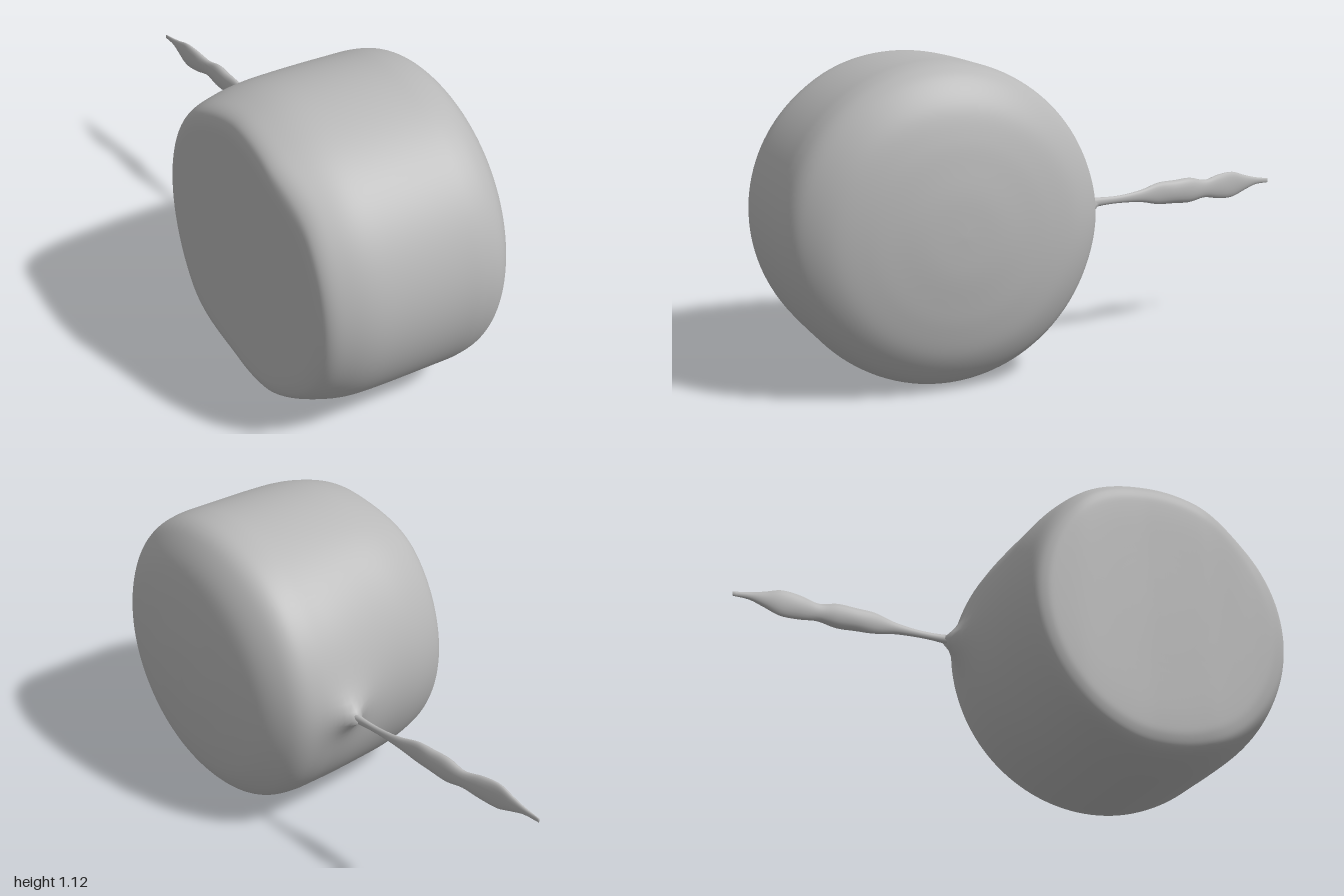
import * as THREE from 'three';
import { mergeVertices } from 'three/addons/utils/BufferGeometryUtils.js';

const AXIS_Y = 0.557, AXIS_Z = 0.435, TAIL_X = 0.1;
const step = THREE.MathUtils.smoothstep;

// Weld seams so that the recomputed normals stay smooth
function smooth(geometry) {
  geometry.deleteAttribute('uv');
  geometry.deleteAttribute('normal');
  const welded = mergeVertices(geometry, 1e-5);
  welded.computeVertexNormals();
  return welded;
}

// Thick drum lying on its side: flat on -x, domed on +x, drawn out towards the tail
function bodyGeometry() {
  const profile = [ // radius, position along x
    [0, -0.4], [0.2, -0.4], [0.4, -0.4], [0.47, -0.394], [0.507, -0.37], [0.532, -0.31],
    [0.551, -0.22], [0.557, -0.1], [0.557, 0.1], [0.555, 0.2], [0.538, 0.27], [0.495, 0.32],
    [0.42, 0.365], [0.32, 0.393], [0.22, 0.409], [0.12, 0.42], [0, 0.424],
  ].map(([r, x]) => new THREE.Vector2(r, x));
  const points = new THREE.SplineCurve(profile).getPoints(96);
  points.forEach((p) => { p.x = Math.max(0, p.x); });
  points[0].x = points[points.length - 1].x = 0;

  const geometry = new THREE.LatheGeometry(points, 128);
  geometry.rotateZ(-Math.PI / 2);
  const pos = geometry.attributes.position;
  for (let i = 0; i < pos.count; i++) {
    let x = pos.getX(i);
    const y = pos.getY(i) + AXIS_Y;
    let z = pos.getZ(i) * 1.013 + AXIS_Z;
    const back = 1 - step(z, -0.1, 0.2);

    // rear wall runs in a little towards the flat side, then peaks at the tail root
    z += 0.022 * back * step(-x, -0.1, 0.2);
    const d = Math.hypot(x - TAIL_X, y - AXIS_Y);
    z -= 0.095 * Math.exp(-d / 0.06) * back;

    // flat side leans outward to the rear in two shallow steps
    const lean = 0.03 * (step(z, 0.6, 0.82) + step(z, 0.1, 0.4) - 1);
    x += lean * step(-x, 0.1, 0.4);
    pos.setXYZ(i, x, y, z);
  }
  return smooth(geometry);
}

// Thin wavy tail lofted from flattened oval sections
function tailGeometry() {
  const sections = [ // z, centre x, half width, centre y, half height
    [-0.17, 0.1, 0.018, 0.558, 0.022], [-0.22, 0.098, 0.011, 0.56, 0.016],
    [-0.3, 0.09, 0.009, 0.56, 0.014], [-0.4, 0.079, 0.012, 0.562, 0.023],
    [-0.48, 0.066, 0.017, 0.563, 0.041], [-0.55, 0.059, 0.022, 0.562, 0.044],
    [-0.62, 0.054, 0.022, 0.562, 0.047], [-0.69, 0.046, 0.016, 0.56, 0.034],
    [-0.76, 0.03, 0.018, 0.56, 0.046], [-0.83, 0.018, 0.015, 0.56, 0.049],
    [-0.89, 0.014, 0.011, 0.562, 0.029], [-0.94, 0.011, 0.007, 0.564, 0.014],
    [-1, 0.005, 0.003, 0.56, 0.008],
  ];
  const column = (k) => new THREE.CatmullRomCurve3(
    sections.map((s) => new THREE.Vector3(s[k], s[k + 1], s[0])));
  const centreX = column(1), centreY = column(3); // (x, half width) and (y, half height)
  const rings = 60, sides = 20;
  const verts = [], index = [];
  const a = new THREE.Vector3(), b = new THREE.Vector3();
  for (let i = 0; i <= rings; i++) {
    centreX.getPoint(i / rings, a);
    centreY.getPoint(i / rings, b);
    for (let j = 0; j < sides; j++) {
      const t = (j / sides) * Math.PI * 2;
      verts.push(a.x + a.y * Math.cos(t), b.x + b.y * Math.sin(t), a.z);
    }
  }
  for (let i = 0; i < rings; i++) {
    for (let j = 0; j < sides; j++) {
      const k = (j + 1) % sides;
      const p = i * sides + j, q = i * sides + k;
      index.push(p, p + sides, q, q, p + sides, q + sides);
    }
  }
  // close the tip
  const tip = verts.length / 3;
  verts.push(0.005, 0.56, -1);
  for (let j = 0; j < sides; j++) {
    index.push(rings * sides + j, tip, rings * sides + (j + 1) % sides);
  }
  const geometry = new THREE.BufferGeometry();
  geometry.setAttribute('position', new THREE.Float32BufferAttribute(verts, 3));
  geometry.setIndex(index);
  geometry.computeVertexNormals();
  return geometry;
}

export function createModel() {
  const grey = new THREE.MeshStandardMaterial({ color: 0xb8b8b8 });
  grey.name = 'plain grey';

  const body = new THREE.Mesh(bodyGeometry(), grey);
  body.name = 'body';
  const tail = new THREE.Mesh(tailGeometry(), grey);
  tail.name = 'tail';

  const model = new THREE.Group();
  model.name = 'tailedDrum';
  model.add(body, tail);
  return model;
}
